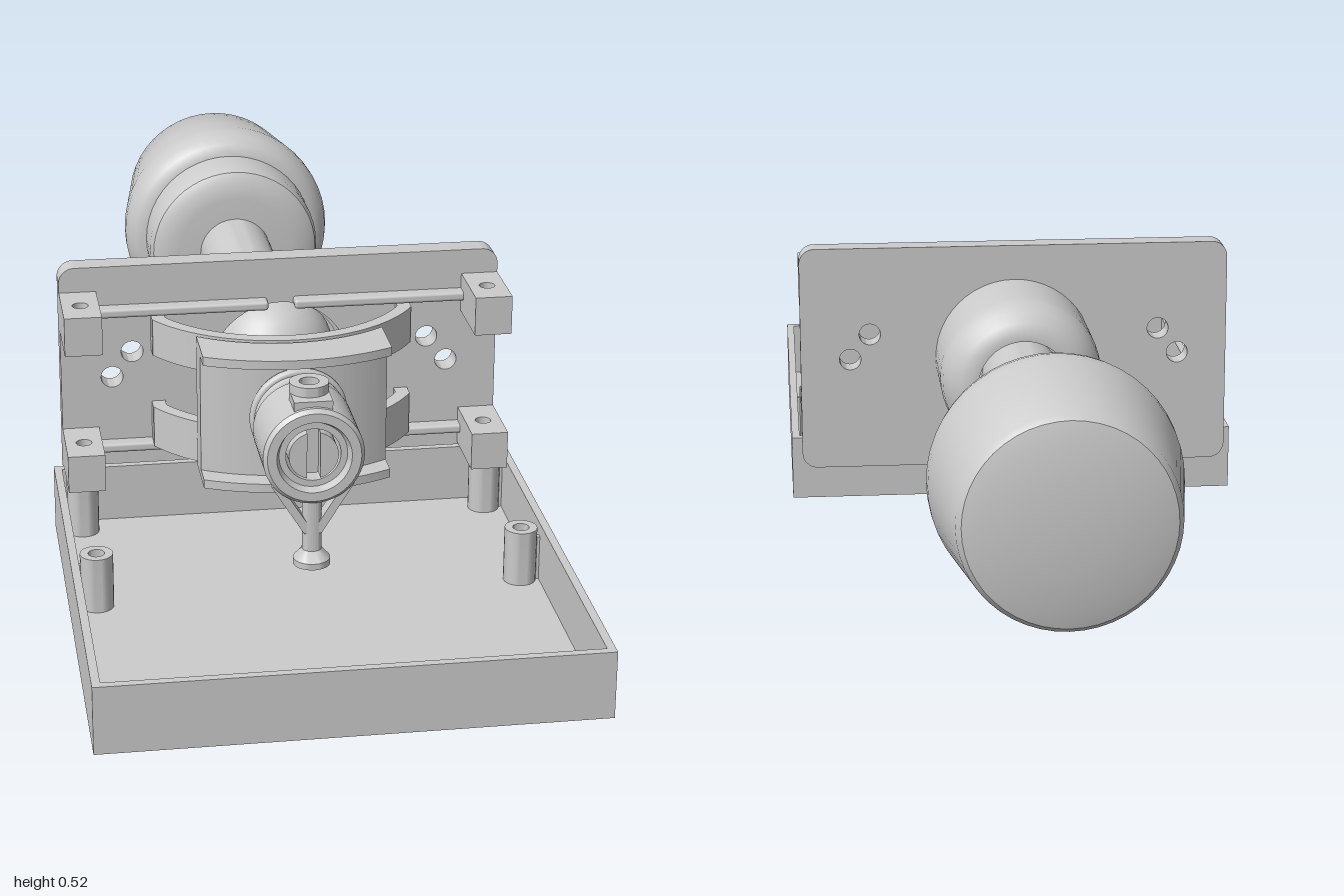
import * as THREE from 'three';
import { toCreasedNormals, mergeVertices } from 'three/addons/utils/BufferGeometryUtils.js';
import { RoundedBoxGeometry } from 'three/addons/geometries/RoundedBoxGeometry.js';

const grey = new THREE.MeshStandardMaterial({ color: 0xcccccc });
const AXIS = 0.3; // height of the stick axis
const CZ = -0.018; // z of the swivel centre

export function createModel() {
  const root = new THREE.Group();

  const add = (name, geo, x = 0, y = 0, z = 0, parent = root) => {
    const m = new THREE.Mesh(geo, grey);
    m.name = name;
    m.position.set(x, y, z);
    parent.add(m);
    return m;
  };
  const group = (name) => {
    const g = new THREE.Group();
    g.name = name;
    root.add(g);
    return g;
  };
  const box = (name, x0, x1, y0, y1, z0, z1, parent, r = 0) => {
    const s = [x1 - x0, y1 - y0, z1 - z0];
    const geo = r ? new RoundedBoxGeometry(...s, 2, r) : new THREE.BoxGeometry(...s);
    return add(name, geo, (x0 + x1) / 2, (y0 + y1) / 2, (z0 + z1) / 2, parent);
  };
  // Profile of [radius, height] pairs; outside runs with height rising
  const lathe = (pts, seg = 48) =>
    toCreasedNormals(new THREE.LatheGeometry(pts.map((p) => new THREE.Vector2(...p)), seg), 0.6);
  const turnedZ = (name, pts, parent) => add(name, lathe(pts).rotateX(Math.PI / 2), 0, AXIS, 0, parent);
  const hole = (x, y, r) => new THREE.Path().absarc(x, y, r, 0, Math.PI * 2, true);
  const extrude = (shape, depth) =>
    new THREE.ExtrudeGeometry(shape, { depth, bevelEnabled: false, curveSegments: 24 });
  // Rounded rectangle centred on x = 0
  const roundRect = (w, y0, y1, r) => {
    const s = new THREE.Shape();
    s.absarc(w - r, y0 + r, r, -Math.PI / 2, 0);
    s.absarc(w - r, y1 - r, r, 0, Math.PI / 2);
    s.absarc(-w + r, y1 - r, r, Math.PI / 2, Math.PI);
    s.absarc(-w + r, y0 + r, r, Math.PI, Math.PI * 1.5);
    return s;
  };
  // Curved wall seen from above: between two radii, cut straight at x = +-w
  const band = (name, rIn, rOut, w, y0, y1, parent) => {
    const a = Math.acos(w / rOut), b = Math.acos(w / rIn);
    const s = new THREE.Shape();
    s.absarc(0, 0, rOut, a, Math.PI - a, false);
    s.absarc(0, 0, rIn, Math.PI - b, b, true);
    const geo = extrude(s, y1 - y0).rotateX(Math.PI / 2);
    return add(name, toCreasedNormals(geo, 0.5), 0, y1, CZ, parent);
  };

  // Open tray with four screw posts
  const tray = group('tray');
  const floor = new THREE.Shape([[-0.44, 0.11], [0.44, 0.11], [0.44, 1], [-0.44, 1]].map((p) => new THREE.Vector2(...p)));
  const posts = [];
  for (const x of [-0.39, 0.39]) for (const z of [0.17, 0.49]) posts.push([x, z]);
  for (const [x, z] of posts) floor.holes.push(hole(x, z, 0.015));
  add('trayFloor', extrude(floor, 0.015).rotateX(Math.PI / 2), 0, 0.015, 0, tray);
  for (const s of [-1, 1]) {
    const c = s * 0.4325;
    box('traySide', c - 0.0075, c + 0.0075, 0, 0.125, 0.11, 1, tray);
  }
  box('trayFront', -0.44, 0.44, 0, 0.125, 0.985, 1, tray);
  box('trayBack', -0.44, 0.44, 0, 0.125, 0.11, 0.125, tray);
  for (const [x, z] of posts) {
    add('screwPost', lathe([[0.015, 0.005], [0.03, 0.005], [0.03, 0.12], [0.015, 0.12], [0.015, 0.005]], 24), x, 0, z, tray);
    const c = Math.sign(x) * 0.425;
    box('postRib', c - 0.01, c + 0.01, 0.01, 0.1, z - 0.005, z + 0.005, tray);
  }

  // Mounting panel
  const panel = group('panel');
  const face = roundRect(0.42, 0.08, 0.523, 0.03);
  face.holes.push(hole(0, AXIS, 0.135));
  for (const s of [-1, 1]) face.holes.push(hole(s * 0.284, 0.35, 0.021), hole(s * 0.323, 0.3, 0.021));
  add('panelPlate', toCreasedNormals(extrude(face, 0.045), 0.5), 0, 0, 0.054, panel);
  for (const s of [-1, 1]) {
    for (const [y0, y1] of [[0.125, 0.198], [0.4, 0.475]]) {
      // Corner lug: a drilled arm standing off the panel
      const lug = new THREE.Shape([[-0.035, 0.09], [0.035, 0.09], [0.035, 0.235], [-0.035, 0.235]].map((p) => new THREE.Vector2(...p)));
      lug.holes.push(hole(0, 0.17, 0.015));
      add('cornerLug', extrude(lug, y1 - y0).rotateX(Math.PI / 2), s * 0.385, y1, 0, panel);
    }
    const c = s * 0.19;
    box('upperRib', c - 0.165, c + 0.165, 0.428, 0.446, 0.09, 0.125, panel, 0.006);
    box('lowerRib', c - 0.165, c + 0.165, 0.153, 0.171, 0.09, 0.125, panel, 0.006);
  }

  // Curved guide fixed to the panel, open at the sides
  const guide = group('guide');
  band('guideUpper', 0.262, 0.288, 0.248, 0.352, 0.424, guide);
  band('guideLower', 0.262, 0.288, 0.248, 0.165, 0.246, guide);
  band('guideCentre', 0.262, 0.288, 0.17, 0.24, 0.36, guide);
  for (const s of [-1, 1]) {
    for (const [y0, y1] of [[0.352, 0.424], [0.165, 0.246]]) {
      const c = s * 0.235;
      box('guideFoot', c - 0.013, c + 0.013, y0, y1, 0.09, 0.13, guide);
    }
  }

  // Slider riding on the guide, with a lip above and below
  const slider = group('slider');
  band('sliderPlate', 0.296, 0.345, 0.175, 0.175, 0.41, slider);
  band('sliderUpperLip', 0.296, 0.385, 0.175, 0.405, 0.422, slider);
  band('sliderLowerLip', 0.296, 0.385, 0.175, 0.16, 0.177, slider);

  // Spring between slider and clamp collar
  const coil = [];
  const turns = 3;
  for (let i = 0; i <= turns * 16; i++) {
    const t = i / (turns * 16), a = t * turns * Math.PI * 2, r = 0.085 - 0.015 * t;
    coil.push(new THREE.Vector3(r * Math.cos(a), r * Math.sin(a), 0.325 + 0.07 * t));
  }
  add('spring', new THREE.TubeGeometry(new THREE.CatmullRomCurve3(coil), 140, 0.009, 8), 0, AXIS, 0);

  // Clamp collar with screw boss and pointer
  const collar = group('clampCollar');
  turnedZ('collarRing', [[0.05, 0.39], [0.092, 0.39], [0.092, 0.522], [0.085, 0.53], [0.068, 0.53], [0.062, 0.515], [0.05, 0.515], [0.05, 0.39]], collar);
  const boss = new THREE.Shape().absarc(0, 0.46, 0.036, 0, Math.PI * 2);
  boss.holes.push(hole(0, 0.46, 0.018));
  add('screwBoss', toCreasedNormals(extrude(boss, 0.05).rotateX(Math.PI / 2), 0.5), 0, 0.42, 0, collar);
  box('clampLug', -0.035, 0.035, 0.375, 0.402, 0.465, 0.515, collar);
  const web = new THREE.Shape([[-0.016, 0.145], [0.016, 0.145], [0.075, 0.24], [-0.075, 0.24]].map((p) => new THREE.Vector2(...p)));
  web.holes.push(new THREE.Path([[-0.01, 0.165], [-0.048, 0.225], [0.048, 0.225], [0.01, 0.165]].map((p) => new THREE.Vector2(...p))));
  add('pointerWeb', extrude(web, 0.03), 0, 0, 0.485, collar);
  add('pointerStem', lathe([[0, 0.08], [0.034, 0.08], [0.034, 0.092], [0.018, 0.11], [0.018, 0.21], [0, 0.21]], 24), 0, 0, 0.5, collar);

  // Spindle with a slotted end
  turnedZ('spindle', [[0, 0], [0.045, 0], [0.045, 0.495], [0, 0.495]]);
  for (const s of [-1, 1]) {
    const half = new THREE.Shape();
    const a = Math.acos(0.012 / 0.045);
    half.absarc(0, 0, 0.045, -a, a, false);
    const m = add('spindleTip', toCreasedNormals(extrude(half, 0.03), 0.5), 0, AXIS, 0.49);
    m.rotation.z = s > 0 ? 0 : Math.PI;
  }

  // Hollow rear socket that holds the ball
  turnedZ('socket', [
    [0.125, 0.06], [0.135, -0.04], [0.12, -0.09], [0.088, -0.155], [0.088, -0.166], [0.1, -0.166],
    [0.122, -0.157], [0.14, -0.138], [0.152, -0.115], [0.155, -0.09], [0.155, 0.06], [0.125, 0.06],
  ]);
  add('ball', new THREE.SphereGeometry(0.118, 32, 20), 0, AXIS, 0);

  // Stick and knob
  turnedZ('shaft', [[0, -0.6], [0.075, -0.6], [0.075, -0.06], [0, -0.06]]);
  turnedZ('knob', [
    [0, -1], [0.08, -0.998], [0.15, -0.99], [0.178, -0.983], [0.187, -0.972], [0.21, -0.82], [0.219, -0.76],
    [0.22, -0.73], [0.215, -0.705], [0.203, -0.685], [0.188, -0.676], [0.18, -0.674],
    [0.18, -0.6], [0.174, -0.58], [0.155, -0.568], [0.12, -0.564], [0, -0.564],
  ]);

  return root;
}
